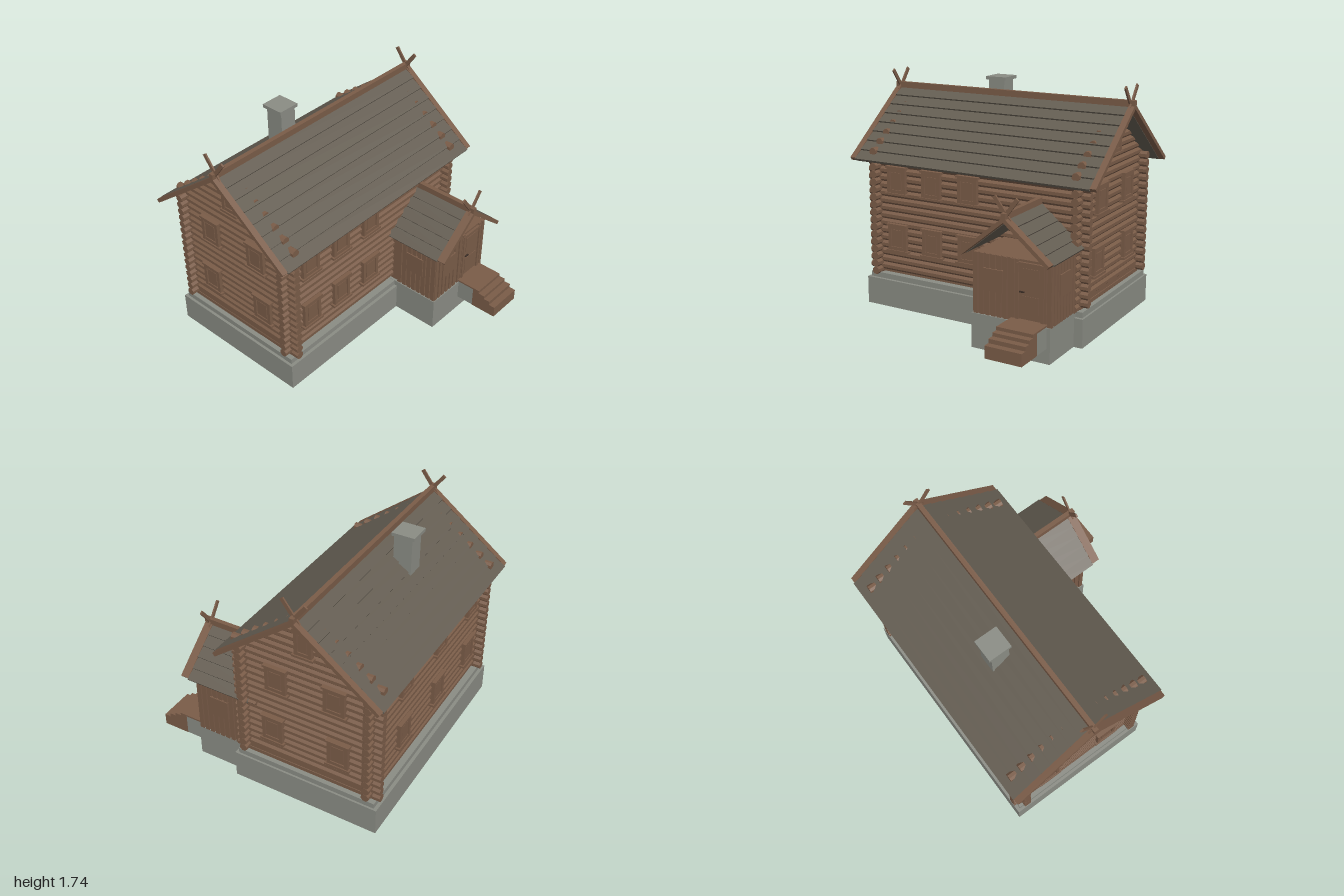
import * as THREE from 'three';

const paint = (name, color) => {
  const m = new THREE.MeshStandardMaterial({ color });
  m.name = name;
  return m;
};

export function createModel() {
  const wood = paint('brown timber', 0x7a5c48);
  const stone = paint('grey stone', 0x8a8c84);
  const shingle = paint('weathered roof boards', 0x645d52);
  const iron = paint('dark iron', 0x3a2d25);
  const house = new THREE.Group();
  house.name = 'logHouse';

  const group = (name, parent = house) => {
    const g = new THREE.Group();
    g.name = name;
    parent.add(g);
    return g;
  };
  // box given by centre and size
  const box = (parent, name, mat, [x, y, z], [w, h, d]) => {
    const m = new THREE.Mesh(new THREE.BoxGeometry(w, h, d), mat);
    m.position.set(x, y, z);
    m.name = name;
    parent.add(m);
    return m;
  };
  // box given by its limits on each axis
  const span = (parent, name, mat, [x0, x1], [y0, y1], [z0, z1]) =>
    box(parent, name, mat, [(x0 + x1) / 2, (y0 + y1) / 2, (z0 + z1) / 2], [x1 - x0, y1 - y0, z1 - z0]);

  // ---- foundations
  const base = group('foundation');
  span(base, 'footing', stone, [-0.91, 0.905], [0, 0.21], [-0.89, 0.244]);
  span(base, 'plinth', stone, [-0.89, 0.89], [0.2, 0.25], [-0.865, 0.22]);
  span(base, 'porchFooting', stone, [0.24, 0.84], [0, 0.252], [0.1, 0.6]);

  // ---- log walls: long and side courses interlock at half a pitch
  const pitch = 0.0575, midZ = -0.32, wallX = 0.83, wallZ = 0.485;
  const logs = group('logWalls');
  const log = (name, len, alongX, x, y, z) => {
    const geo = new THREE.CylinderGeometry(0.03, 0.03, len, 8).toNonIndexed();
    geo.rotateY(Math.PI / 8);
    if (alongX) geo.rotateZ(Math.PI / 2); else geo.rotateX(Math.PI / 2);
    geo.computeVertexNormals();
    const m = new THREE.Mesh(geo, wood);
    m.position.set(x, y, z);
    m.name = name;
    logs.add(m);
  };
  for (const s of [-1, 1]) {
    for (let i = 0; i < 16; i++) {
      log('longWallLog', 1.825, true, 0, 0.298 + i * pitch, midZ + s * wallZ);
      log('sideWallLog', 1.14, false, s * wallX, 0.27 + i * pitch, midZ);
    }
    // gable logs shorten towards the ridge
    for (let i = 0; i < 7; i++)
      log('gableLog', 2 * (0.57 - i * 0.086), false, s * wallX, 0.27 + (16 + i) * pitch, midZ);
    box(logs, 'sideSill', wood, [s * wallX, 0.29, midZ], [0.05, 0.08, 1.0]);
    box(logs, 'sideLining', wood, [s * (wallX - 0.008), 0.7, midZ], [0.016, 0.9, 0.96]);
    box(logs, 'longLining', wood, [0, 0.7, midZ + s * (wallZ - 0.008)], [1.65, 0.9, 0.016]);
  }

  // ---- shuttered windows, built facing +z
  const windowUnit = (x, y, z, turn, w = 0.16, h = 0.19) => {
    const g = group('window');
    g.position.set(x, y, z);
    g.rotation.y = turn;
    const b = 0.026;
    box(g, 'shutter', wood, [0, 0, 0], [w - 0.04, h - 0.03, 0.03]);
    box(g, 'shutterPanel', wood, [0, 0, 0.017], [w - 0.075, h - 0.065, 0.008]);
    for (const s of [-1, 1]) {
      box(g, 'jamb', wood, [s * (w - b) / 2, 0, 0.003], [b, h, 0.044]);
      box(g, 'rail', wood, [0, s * (h - b) / 2, 0.001], [w - b, b, 0.044]);
      box(g, 'ledge', wood, [0, s * (h / 2 + 0.006), 0.007], [w + (s < 0 ? 0.03 : 0.02), 0.016, 0.052]);
    }
  };
  const rows = [0.54, 0.98];
  for (const y of rows) {
    for (const x of [-0.65, -0.345, -0.035]) windowUnit(x, y, midZ + wallZ + 0.025, 0);
    for (const x of [0.43, -0.1, -0.62]) windowUnit(x, y, midZ - wallZ - 0.025, Math.PI);
  }
  for (const s of [-1, 1]) {
    const place = (z, y, w) => windowUnit(s * (wallX + 0.025), y, z, s * Math.PI / 2, w);
    place(-0.063, rows[0]);
    place(-0.575, rows[0]);
    place(-0.1, rows[1]);
    place(-0.545, rows[1]);
    place(midZ, 1.36, 0.13);
  }

  // ---- board roof with its ridge along local z and its apex at the origin
  const makeRoof = (name, half, rise, length, n, barge, finials) => {
    const roof = group(name);
    const slope = Math.hypot(half, rise), inner = length - 2 * barge, step = slope / n;
    for (const s of [-1, 1]) {
      const side = group('roofSide', roof);
      side.rotation.y = s > 0 ? 0 : Math.PI;
      const pane = group('roofSlope', side);
      pane.rotation.z = -Math.atan2(rise, half);
      box(pane, 'underBoards', shingle, [slope / 2, -0.019, 0], [slope, 0.012, inner]);
      for (let i = 0; i < n; i++) {
        const plank = box(pane, 'roofBoard', shingle, [(i + 0.5) * step + 0.004, -0.005, 0], [step + 0.012, 0.014, inner]);
        plank.rotation.z = 0.12;
      }
      for (const e of [-1, 1])
        box(pane, 'bargeBoard', wood, [slope / 2, -0.008, e * (length - barge) / 2], [slope, 0.028, barge]);
      // crossed boards above the gable
      for (const z of finials) {
        const f = box(roof, 'crossedFinial', wood, [s * 0.03, 0.05, z + s * 0.006], [0.028, 0.2, 0.012]);
        f.rotation.z = -s * Math.atan2(0.12, 0.16);
      }
    }
    box(roof, 'ridgeBoard', wood, [0, 0.01, 0], [0.034, 0.045, length]);
    return roof;
  };
  const mainRoof = makeRoof('mainRoof', 0.615, 0.47, 2, 8, 0.045, [-0.965, 0.965]);
  mainRoof.rotation.y = Math.PI / 2;
  mainRoof.position.set(0, 1.605, midZ);

  // ---- chimney
  const chimney = group('chimney');
  span(chimney, 'stack', stone, [-0.24, -0.107], [1.25, 1.69], [-0.577, -0.44]);
  span(chimney, 'cap', stone, [-0.257, -0.09], [1.688, 1.712], [-0.6, -0.428]);

  // ---- porch
  const porch = group('porch');
  span(porch, 'porchBody', wood, [0.258, 0.832], [0.25, 0.685], [0.17, 0.582]);
  const porchRoof = makeRoof('porchRoof', 0.333, 0.275, 0.625, 5, 0.062, [0.276]);
  porchRoof.position.set(0.537, 0.975, 0.383);
  // upright boards with narrow gaps
  for (const x of [0.27, 0.315, 0.36, 0.405, 0.45, 0.495, 0.55, 0.585, 0.79, 0.825])
    box(porch, 'frontBoard', wood, [x, 0.467, 0.586], [0.03, 0.434, 0.014]);
  for (const s of [-1, 1])
    for (let i = 0; i < 8; i++)
      box(porch, 'sideBoard', wood, [0.545 + s * 0.291, 0.467, 0.572 - i * 0.045], [0.014, 0.434, 0.033]);
  span(porch, 'frontShutter', wood, [0.33, 0.482], [0.43, 0.586], [0.57, 0.602]);
  for (const s of [-1, 1])
    box(porch, 'sideShutter', wood, [0.545 + s * 0.29, 0.508, 0.402], [0.032, 0.156, 0.15]);
  // door with frame, panels and handle
  span(porch, 'door', wood, [0.6, 0.77], [0.28, 0.65], [0.57, 0.59]);
  span(porch, 'upperPanel', wood, [0.62, 0.75], [0.5, 0.63], [0.585, 0.594]);
  span(porch, 'lowerPanel', wood, [0.62, 0.75], [0.3, 0.44], [0.585, 0.594]);
  for (const x of [0.59, 0.78]) box(porch, 'doorJamb', wood, [x, 0.46, 0.588], [0.02, 0.41, 0.024]);
  box(porch, 'doorLintel', wood, [0.685, 0.66, 0.588], [0.17, 0.02, 0.024]);
  box(porch, 'doorHandle', iron, [0.627, 0.468, 0.6], [0.035, 0.008, 0.012]);

  // ---- front steps
  const steps = group('steps');
  span(steps, 'landingBlock', stone, [0.548, 0.814], [0.107, 0.265], [0.58, 0.738]);
  span(steps, 'landingBoard', wood, [0.545, 0.817], [0.262, 0.274], [0.585, 0.79]);
  const tops = [0.268, 0.25, 0.225, 0.195];
  tops.forEach((top, i) => span(steps, 'step', wood, [0.545, 0.817], [0.107, top],
    [i ? 0.74 + i * 0.05 : 0.738, 0.79 + i * 0.05]));

  // centre on z
  house.position.z = 0;
  return house;
}
